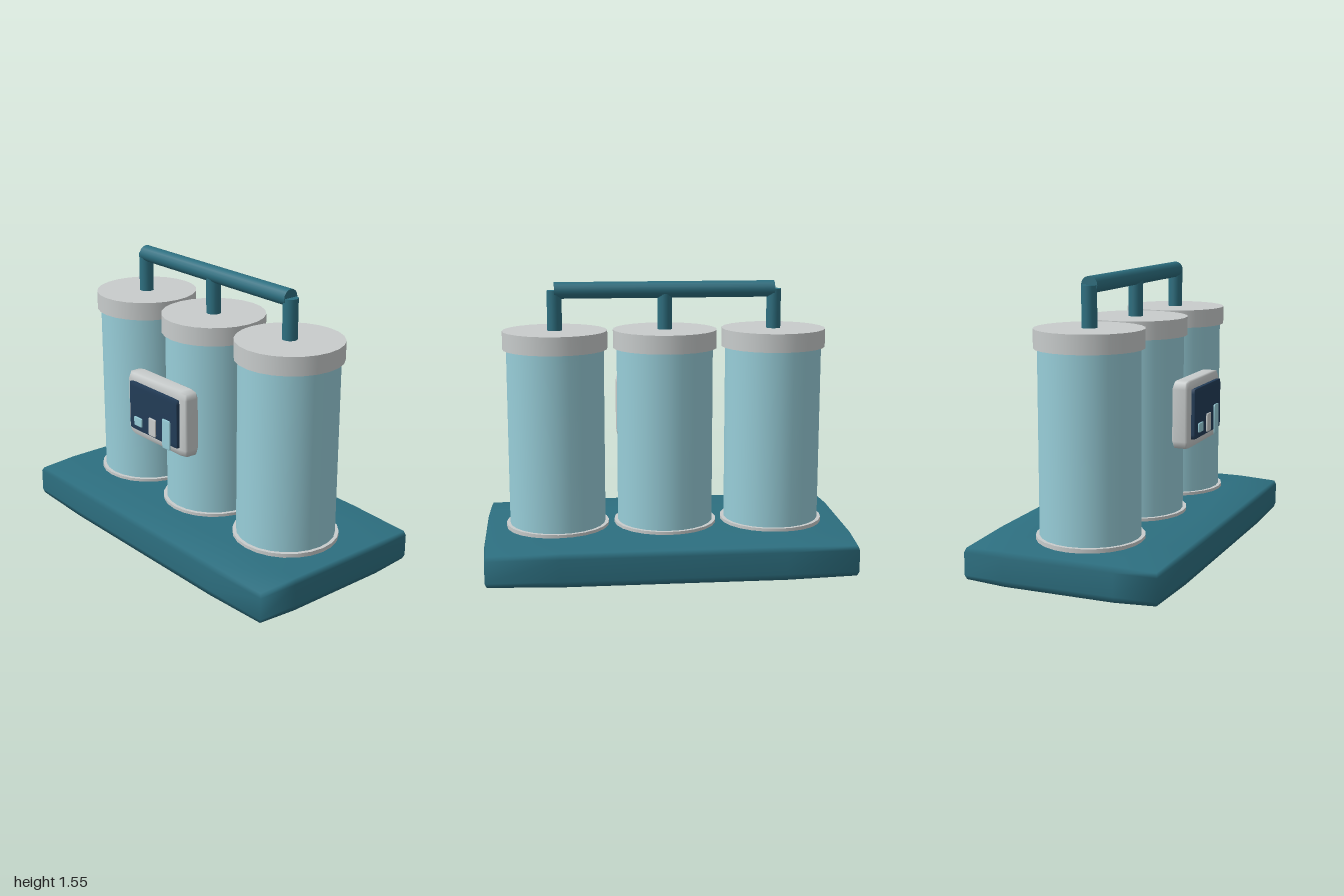
import * as THREE from 'three';
import { mergeVertices } from 'three/addons/utils/BufferGeometryUtils.js';

const material = (name, color) => {
  const m = new THREE.MeshStandardMaterial({ color });
  m.name = name;
  return m;
};

// Soft slab: a 3x3x3 box whose edges and corners are drawn in, shaded smooth.
// inner = position of the inner grid lines, inset = how far corners are pulled in.
function softBox(size, inner, inset) {
  const geo = new THREE.BoxGeometry(2, 2, 2, 3, 3, 3);
  geo.deleteAttribute('uv');
  geo.deleteAttribute('normal');
  const merged = mergeVertices(geo, 1e-4);
  const p = merged.attributes.position;
  for (let i = 0; i < p.count; i++) {
    const v = [p.getX(i), p.getY(i), p.getZ(i)];
    const outer = v.filter((c) => Math.abs(c) > 0.9).length;
    const pull = [0, 0, 0.5, 1][outer];
    const q = v.map((c, k) => Math.sign(c) *
      (Math.abs(c) > 0.9 ? size[k] / 2 - inset[k] * pull : inner[k]));
    p.setXYZ(i, ...q);
  }
  merged.computeVertexNormals();
  return merged;
}

export function createModel() {
  const model = new THREE.Group();
  const teal = material('deep teal', 0x2d6f80);
  const aqua = material('pale aqua', 0x98ced9);
  const grey = material('light grey', 0xc8cccc);
  const navy = material('navy', 0x223c57);

  const add = (name, geo, mat, x, y, z) => {
    const mesh = new THREE.Mesh(geo, mat);
    mesh.name = name;
    mesh.position.set(x, y, z);
    model.add(mesh);
    return mesh;
  };
  const cylinder = (name, r, y0, y1, mat, x, sides = 24) =>
    add(name, new THREE.CylinderGeometry(r, r, y1 - y0, sides), mat, x, (y0 + y1) / 2, 0);

  // Base
  add('base', softBox([2, 0.2, 1.07], [0.6, 0.06, 0.3], [0.02, 0.017, 0.015]), teal, 0, 0.103, 0);

  // Three canisters with lids, foot rings and outlet pipes
  for (const x of [-0.6, 0, 0.6]) {
    cylinder('footRing', 0.285, 0.19, 0.22, grey, x);
    cylinder('canister', 0.265, 0.2, 1.2, aqua, x);
    cylinder('lid', 0.285, 1.19, 1.29, grey, x);
    cylinder('outletPipe', 0.04, 1.28, 1.505, teal, x, 16);
  }

  // Pipe joining the outlets
  const manifold = cylinder('manifoldPipe', 0.045, 0, 1.2, teal, 0, 16);
  manifold.rotation.z = Math.PI / 2;
  manifold.position.y = 1.505;

  // Control panel with screen
  add('panelHousing', softBox([0.5, 0.365, 0.1], [0.2, 0.14, 0.03], [0.014, 0.014, 0.014]),
    grey, 0, 0.802, 0.354);
  add('screen', softBox([0.41, 0.27, 0.035], [0.17, 0.11, 0.013], [0.004, 0.004, 0.003]),
    navy, 0, 0.805, 0.407);

  // Bars on the screen: x, y, width, height, colour
  for (const [x, y, w, h, mat] of [
    [-0.125, 0.725, 0.068, 0.05, aqua],
    [0, 0.73, 0.06, 0.1, grey],
    [0.122, 0.728, 0.066, 0.165, aqua],
  ]) {
    add('screenBar', softBox([w, h, 0.009], [w * 0.4, h * 0.4, 0.003], [0.003, 0.003, 0.001]),
      mat, x, y, 0.428);
  }
  return model;
}
